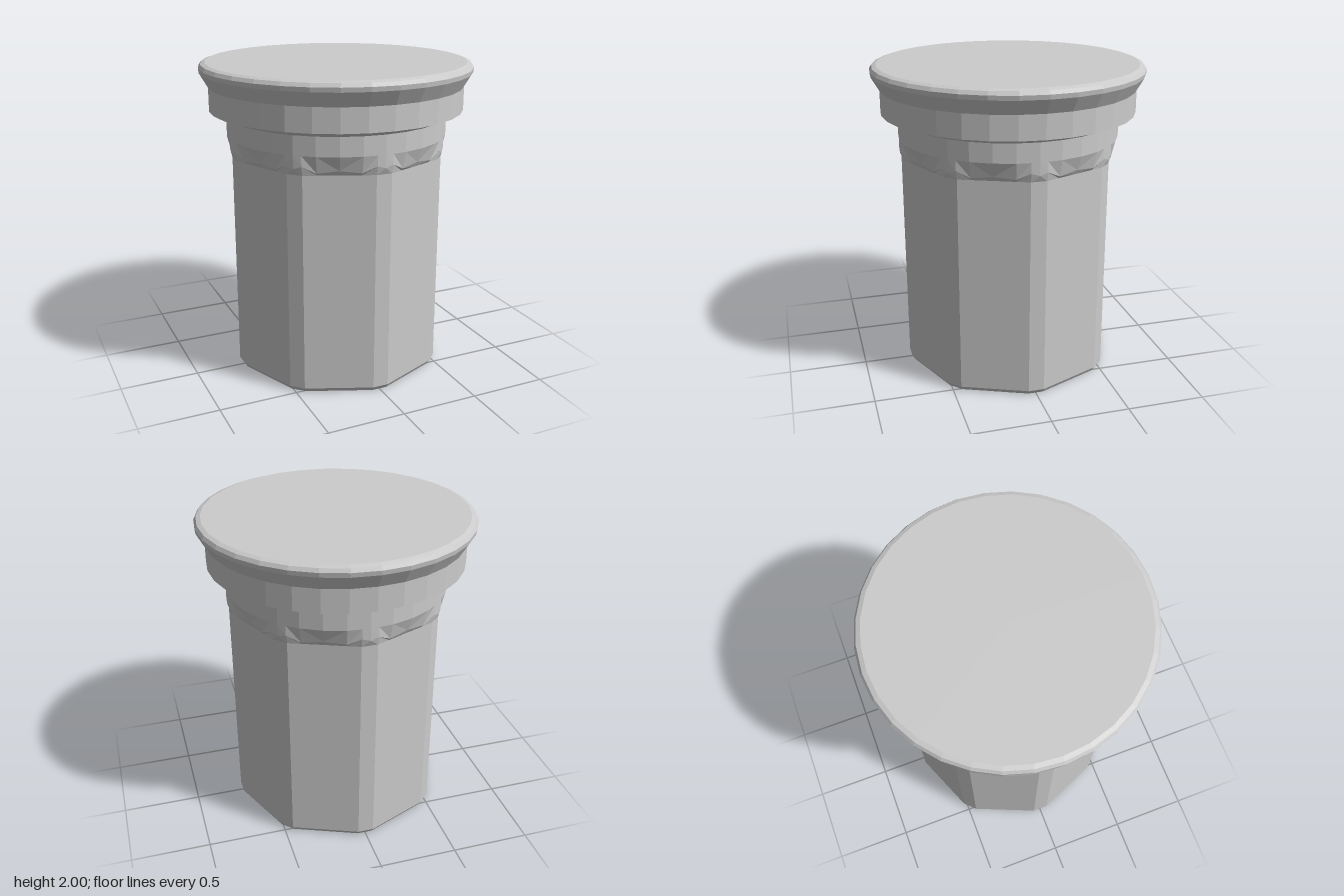
import * as THREE from 'three';

const DEG = Math.PI / 180;
const material = new THREE.MeshStandardMaterial({ color: 0xcccccc, flatShading: true });

// Angles within one eighth of the shaft, measured from a corner's centre
const OFFSETS = [0, 4.16, 11.25, 22.5, 33.75, 40.84];

// Radius of a 32-sided circle at an angle in degrees
const circle = (radius, a) =>
  (radius * Math.cos(5.625 * DEG)) / Math.cos(((a % 11.25) - 5.625) * DEG);

// Radius of an octagon with narrow bevelled corners
const octagon = (radius, a) => {
  const b = Math.min(a, 45 - a);
  return b < 4.16
    ? (radius * Math.cos(4.16 * DEG)) / Math.cos(b * DEG)
    : (radius * Math.cos(18.34 * DEG)) / Math.cos((22.5 - b) * DEG);
};

// Joins rings, each a rule from local angle to [radius, height]
function loft(rings, capBottom) {
  const n = OFFSETS.length * 8;
  const pos = [];
  const index = [];
  for (const rule of rings) {
    for (let j = 0; j < n; j++) {
      const local = OFFSETS[j % OFFSETS.length];
      const angle = (Math.floor(j / OFFSETS.length) * 45 + local) * DEG;
      const [r, y] = rule(local);
      pos.push(r * Math.sin(angle), y, r * Math.cos(angle));
    }
  }
  for (let i = 0; i < rings.length - 1; i++) {
    for (let j = 0; j < n; j++) {
      const a = i * n + j;
      const b = i * n + ((j + 1) % n);
      const c = b + n;
      const d = a + n;
      // Mirror the diagonals about the middle of each face
      if (j % OFFSETS.length < 3) index.push(a, b, d, b, c, d);
      else index.push(a, b, c, a, c, d);
    }
  }
  if (capBottom) {
    const centre = pos.length / 3;
    pos.push(0, rings[0](0)[1], 0);
    for (let j = 0; j < n; j++) index.push(centre, (j + 1) % n, j);
  }
  const g = new THREE.BufferGeometry();
  g.setAttribute('position', new THREE.Float32BufferAttribute(pos, 3));
  g.setIndex(index);
  return g;
}

function lathe(points) {
  return new THREE.LatheGeometry(points.map(([r, y]) => new THREE.Vector2(r, y)), 32);
}

export function createModel() {
  const group = new THREE.Group();
  const add = (name, geometry) => {
    const flat = geometry.toNonIndexed();
    flat.computeVertexNormals();
    const mesh = new THREE.Mesh(flat, material);
    mesh.name = name;
    group.add(mesh);
  };

  // Octagonal shaft with a small chamfer round the foot
  add('shaft', loft([
    (a) => [octagon(0.672, a), 0],
    (a) => [octagon(0.69, a), 0.028],
    (a) => [octagon(0.69, a), 1.42],
  ], true));

  // Neck: octagon turning round, with tongues over the corners
  const tongue = (a) => {
    const b = Math.min(a, 45 - a);
    if (b < 1) return [0.704, 1.46];
    if (b < 5) return [0.702, 1.475];
    return b < 12 ? [0.68, 1.435] : [0.672, 1.45];
  };
  add('neck', loft([
    (a) => [octagon(0.69, a), 1.42],
    tongue,
    (a) => [circle(0.705, a), 1.54],
    (a) => [circle(0.705, a), 1.66],
  ], false));

  // Round collar and flared rim with a closed top
  add('collar', lathe([[0.705, 1.66], [0.75, 1.7], [0.81, 1.7], [0.81, 1.85]]));
  add('rim', lathe([[0.81, 1.85], [0.862, 1.94], [0.866, 1.968], [0.852, 1.99], [0.825, 2]]));
  const top = new THREE.CircleGeometry(0.825, 32);
  top.rotateX(-Math.PI / 2).translate(0, 2, 0);
  add('top', top);

  return group;
}
